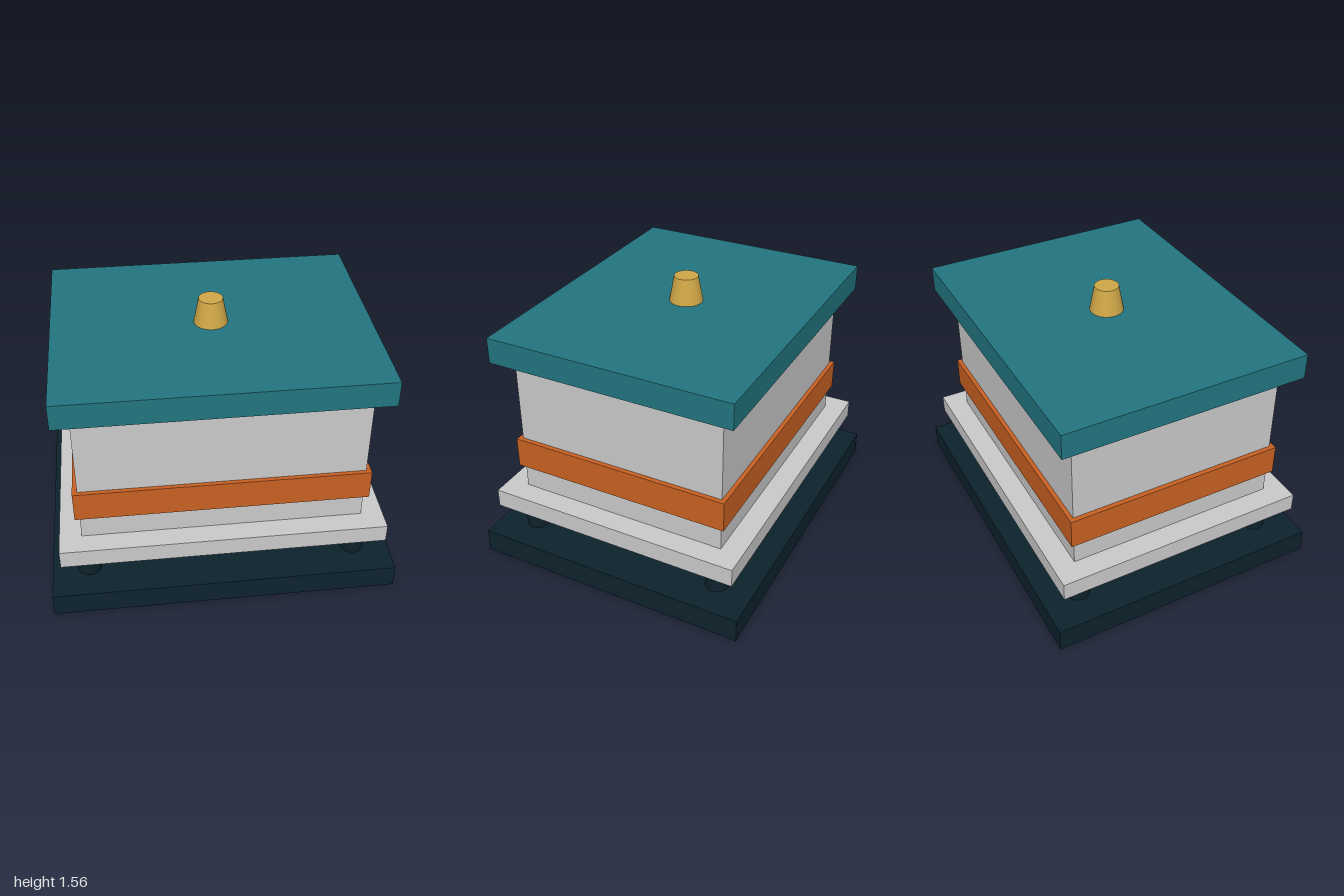
import * as THREE from 'three';

export function createModel() {
  const model = new THREE.Group();
  model.name = 'liddedBox';

  const material = (name, color) => {
    const m = new THREE.MeshStandardMaterial({ color });
    m.name = name;
    return m;
  };
  const navy = material('dark navy', 0x0d222d);
  const grey = material('light grey', 0xcacaca);
  const orange = material('orange', 0xc96122);
  const teal = material('teal', 0x227580);
  const gold = material('gold', 0xd1a848);

  const add = (name, geometry, mat, x, y, z) => {
    const mesh = new THREE.Mesh(geometry, mat);
    mesh.name = name;
    mesh.position.set(x, y, z);
    model.add(mesh);
  };
  // Centred slab given its half width, half depth, bottom and top
  const slab = (name, mat, hx, hz, y0, y1) =>
    add(name, new THREE.BoxGeometry(hx * 2, y1 - y0, hz * 2), mat, 0, (y0 + y1) / 2, 0);

  slab('base', navy, 1, 0.8125, 0, 0.14);
  slab('plinth', grey, 0.9375, 0.75, 0.31, 0.42);
  slab('body', grey, 0.81, 0.625, 0.42, 1.26);
  slab('band', orange, 0.8375, 0.65, 0.57, 0.75);
  slab('lid', teal, 0.906, 0.72, 1.26, 1.41);

  // Four round feet between base and plinth
  const foot = new THREE.CylinderGeometry(0.067, 0.067, 0.17, 32);
  for (const [side, x] of [['Left', 0.783], ['Right', -0.783]])
    for (const [end, z] of [['front', 0.595], ['back', -0.595]])
      add(`${end}${side}Foot`, foot, navy, x, 0.225, z);

  // Tapered knob on the lid
  add('knob', new THREE.CylinderGeometry(0.069, 0.097, 0.15, 32), gold, 0, 1.485, 0);

  return model;
}
